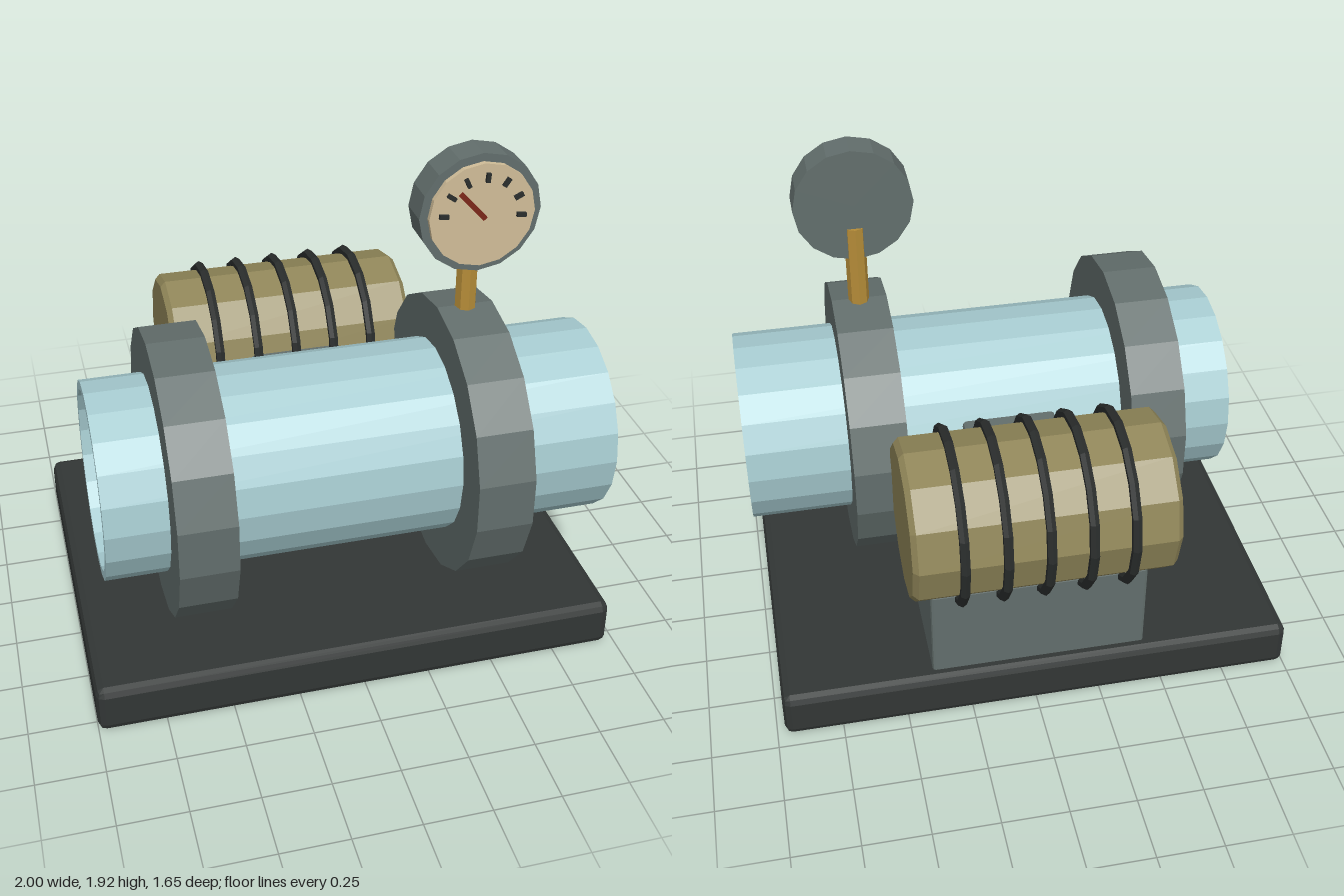
import * as THREE from 'three';
import { RoundedBoxGeometry } from 'three/addons/geometries/RoundedBoxGeometry.js';

const paint = (color) => new THREE.MeshStandardMaterial({ color, flatShading: true });

export function createModel() {
  const model = new THREE.Group();
  const glass = paint(0xa6cbd0), steel = paint(0x626e6c), dark = paint(0x323635);
  const olive = paint(0x8f8558), black = paint(0x2a2d2c), brass = paint(0xb58c38);
  const cream = paint(0xd0bd98), red = paint(0x7a2618);

  function add(name, geometry, material, x, y, z, parent = model) {
    const mesh = new THREE.Mesh(geometry, material);
    mesh.name = name;
    mesh.position.set(x, y, z);
    parent.add(mesh);
    return mesh;
  }

  // Box given by its minimum and maximum corners, with small chamfers
  function block(name, material, min, max, bevel) {
    const s = max.map((v, i) => v - min[i]);
    const c = max.map((v, i) => (v + min[i]) / 2);
    return add(name, new RoundedBoxGeometry(...s, 1, bevel), material, ...c);
  }

  // Profile of [radius, distance] turned around the x axis, one corner on top
  function turned(points, sides) {
    const profile = points.map(([r, h]) => new THREE.Vector2(r, h));
    return new THREE.LatheGeometry(profile, sides, Math.PI / 2).rotateZ(-Math.PI / 2);
  }
  const ring = (ri, ro, h, sides) =>
    turned([[ri, -h], [ro, -h], [ro, h], [ri, h], [ri, -h]], sides);

  // Base plate and supports
  block('basePlate', dark, [-1, 0, -0.7], [0.97, 0.185, 0.81], 0.03);
  block('motorPedestal', steel, [-0.43, 0.15, -0.65], [0.395, 0.56, -0.255], 0.012);
  block('connector', steel, [-0.2, 0.66, -0.3], [0.165, 0.885, 0.24], 0.015);

  // Open pipe with two clamping flanges
  const pipeY = 0.743, pipeZ = 0.29;
  add('pipe', ring(0.336, 0.37, 0.955, 20), glass, 0.045, pipeY, pipeZ);
  for (const x of [-0.573, 0.502]) {
    add('flange', ring(0.36, 0.54, 0.106, 18), steel, x, pipeY, pipeZ);
  }

  // Motor drum with coil rings
  const motor = new THREE.Group();
  motor.name = 'motor';
  motor.position.set(-0.02, 0.805, -0.485);
  model.add(motor);
  const half = 0.489, R = 0.305, b = 0.02;
  add('drum', turned([[0, -half], [R - b, -half], [R, b - half], [R, half - b],
    [R - b, half], [0, half]], 12), olive, 0, 0, 0, motor);
  for (let i = -2; i <= 2; i++) {
    const coil = new THREE.TorusGeometry(0.321, 0.019, 6, 16).rotateY(Math.PI / 2);
    add('coilRing', coil, black, i * 0.154, 0, 0, motor);
  }

  // Pressure gauge on its stem
  add('gaugeStem', new THREE.CylinderGeometry(0.04, 0.04, 0.37, 8), brass, 0.503, 1.415, 0.29);
  const gauge = new THREE.Group();
  gauge.name = 'gauge';
  gauge.position.set(0.503, 1.694, 0);
  model.add(gauge);
  const disc = (r, depth) => new THREE.CylinderGeometry(r, r, depth, 16).rotateX(Math.PI / 2);
  add('gaugeCase', disc(0.224, 0.122), steel, 0, 0, 0.326, gauge);
  add('gaugeDial', disc(0.194, 0.04), cream, 0, 0, 0.387, gauge);
  for (let i = 0; i < 7; i++) {
    const a = THREE.MathUtils.degToRad(175 - i * 29.8);
    const tick = add('dialTick', new THREE.BoxGeometry(0.034, 0.015, 0.016), black,
      Math.cos(a) * 0.143, Math.sin(a) * 0.143, 0.412, gauge);
    tick.rotation.z = a;
  }
  const needle = add('needle', new THREE.BoxGeometry(0.13, 0.018, 0.022).translate(0.062, 0, 0),
    red, 0, 0, 0.424, gauge);
  needle.rotation.z = THREE.MathUtils.degToRad(133);

  return model;
}
